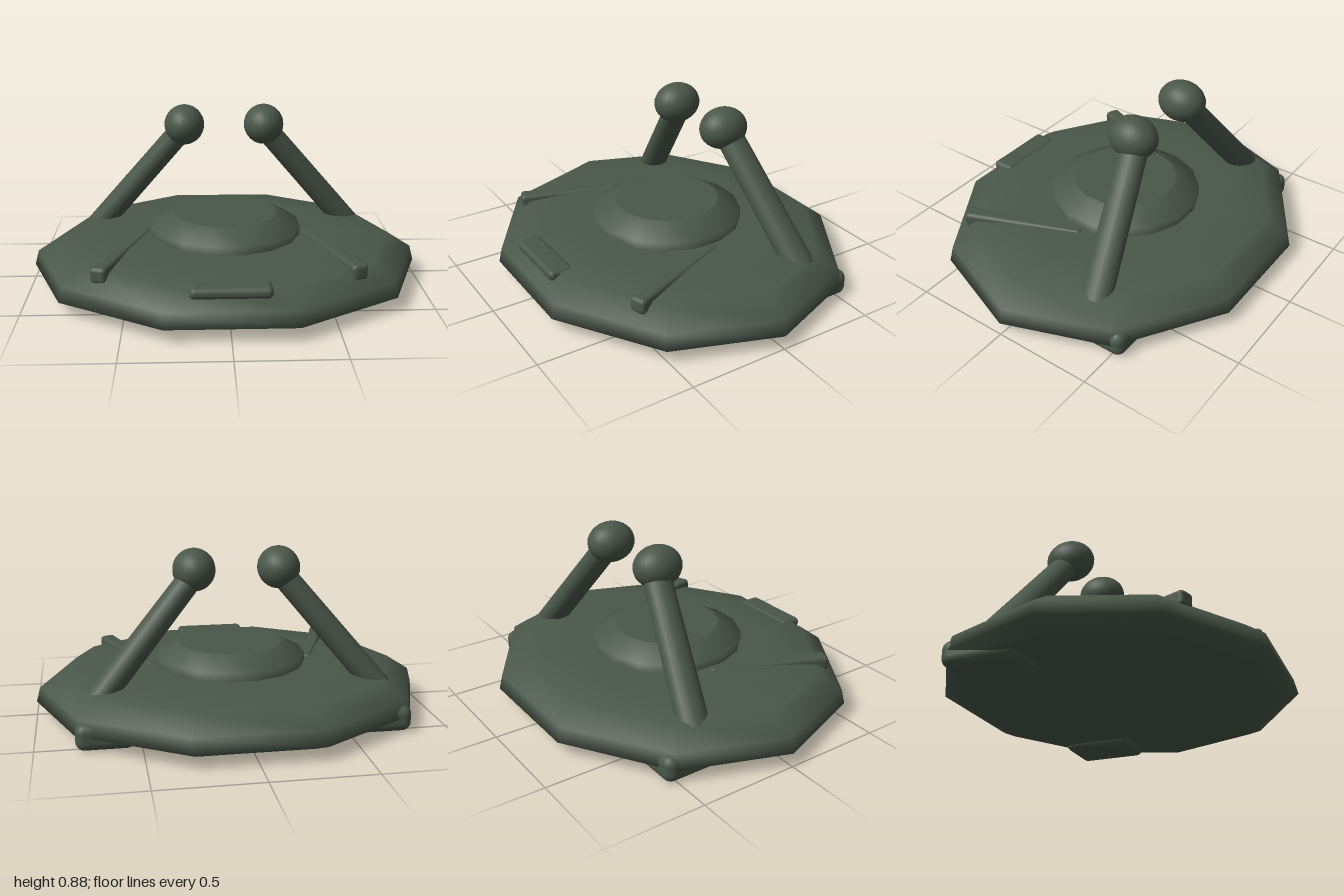
import * as THREE from 'three';
import { RoundedBoxGeometry } from 'three/addons/geometries/RoundedBoxGeometry.js';

const DEPTH = 0.873; // the hull is slightly flattened front to back

export function createModel() {
  const model = new THREE.Group();
  model.name = 'craft';
  const darkGreen = new THREE.MeshStandardMaterial({ color: 0x4a574a });
  darkGreen.name = 'darkGreen';

  const add = (name, geometry, parent = model) => {
    const mesh = new THREE.Mesh(geometry, darkGreen);
    mesh.name = name;
    parent.add(mesh);
    return mesh;
  };
  const lathe = (profile, sides, start) => new THREE.LatheGeometry(
    profile.map(([r, y]) => new THREE.Vector2(r, y)), sides, start);

  // Ten-sided hull with a flat underside
  add('hull', lathe([[0.9, 0.03], [1, 0.07], [0.98, 0.145], [0.86, 0.222], [0.6, 0.245], [0, 0.25]],
    10, Math.PI / 2).scale(1, 1, DEPTH));
  add('hullUnderside', lathe([[0, 0.03], [0.9, 0.03]], 10, Math.PI / 2).scale(1, 1, DEPTH));

  // Raised hatch in the middle
  add('hatchRim', lathe([[0.388, 0.23], [0.388, 0.29], [0.27, 0.352]], 16, Math.PI / 16));
  add('hatchTop', lathe([[0.27, 0.352], [0, 0.352]], 16, Math.PI / 16));

  // Small plate near the front edge
  add('frontPlate', new RoundedBoxGeometry(0.38, 0.055, 0.125, 3, 0.025)).position.set(0, 0.208, 0.71);

  for (const side of [1, -1]) {
    const label = side > 0 ? 'left' : 'right';

    // Leaning stalk with a ball on top
    const stalk = new THREE.Group();
    stalk.name = label + 'Stalk';
    stalk.scale.z = 1.2;
    model.add(stalk);
    const foot = new THREE.Vector3(side * 0.7, 0.17, -0.335 / 1.2);
    const head = new THREE.Vector3(side * 0.21, 0.755, -0.215 / 1.2);
    const axis = head.clone().sub(foot);
    const rod = add(label + 'Rod', new THREE.CylinderGeometry(0.061, 0.066, axis.length(), 20), stalk);
    rod.position.copy(foot).addScaledVector(axis, 0.5);
    rod.quaternion.setFromUnitVectors(new THREE.Vector3(0, 1, 0), axis.normalize());
    add(label + 'Ball', new THREE.SphereGeometry(0.105, 24, 16), stalk)
      .position.set(side * 0.21, 0.77, -0.2 / 1.2);

    // Tapering rib, wide at the outer end
    const ribGeometry = new RoundedBoxGeometry(0.085, 0.08, 0.62, 3, 0.022);
    const p = ribGeometry.attributes.position;
    for (let i = 0; i < p.count; i++) p.setX(i, p.getX(i) * (0.68 + p.getZ(i) * 1.03));
    const rib = add(label + 'Rib', ribGeometry);
    rib.position.set(side * 0.513, 0.216, 0.265);
    rib.rotation.y = side * 0.35;

    // Rear skid, half sunk into the hull
    add(label + 'Skid', new RoundedBoxGeometry(0.28, 0.13, 0.385, 4, 0.045))
      .position.set(side * 0.67, 0.065, -0.365);
  }
  return model;
}
